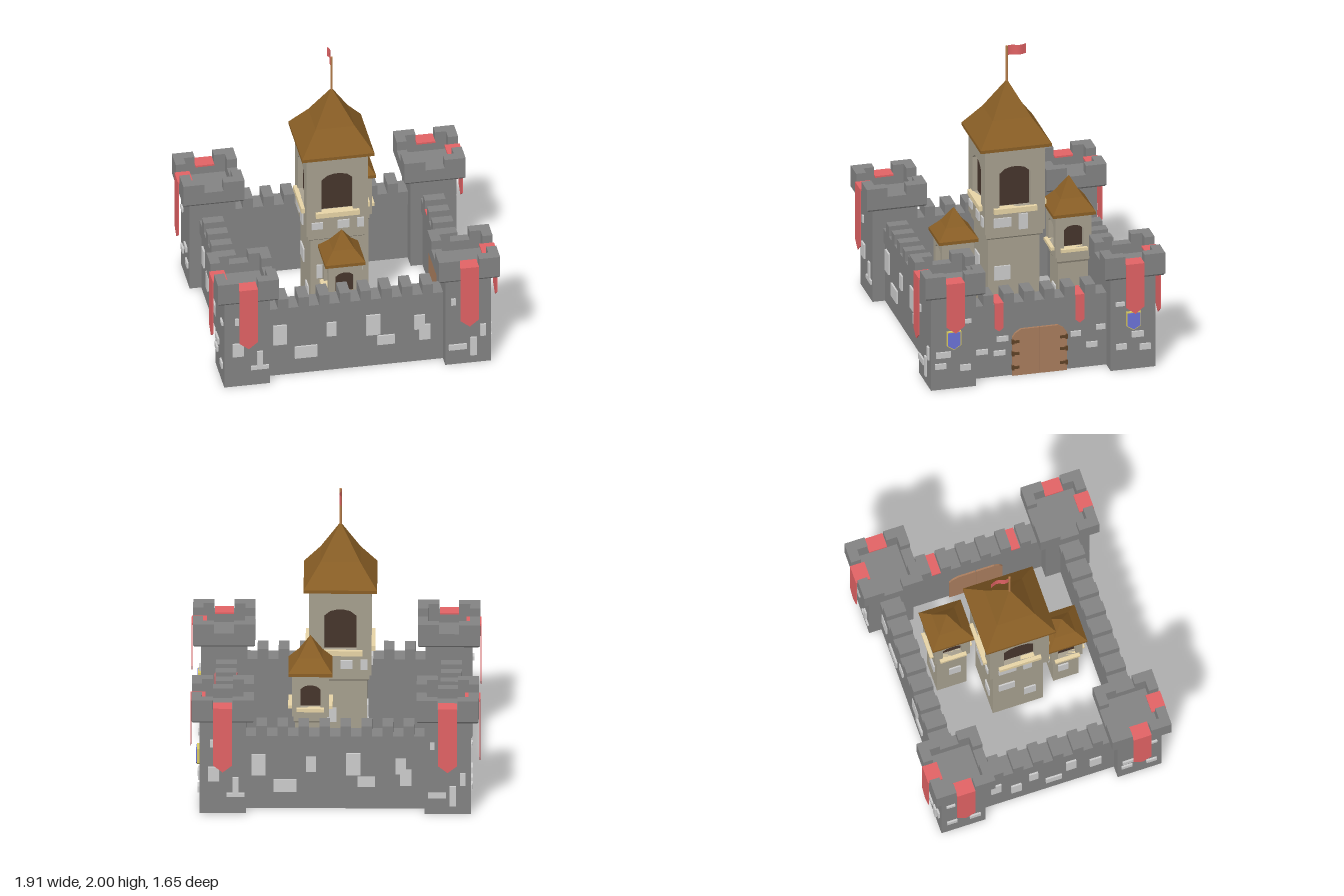
import * as THREE from 'three';

const mat = (color, extra = {}) => new THREE.MeshStandardMaterial({ color, flatShading: true, ...extra });
const M = {
  wall: mat(0x828282), stone: mat(0xcccccc), beige: mat(0xa69f8e), roof: mat(0x8a5f26),
  dark: mat(0x46352c), sill: mat(0xe6d3a5), red: mat(0xe06264, { side: THREE.DoubleSide }),
  wood: mat(0xa87c5d), hinge: mat(0x5f4226), blue: mat(0x6b73d6), gold: mat(0xd8c860), pole: mat(0xb57d4a),
};
const SIDES = [0, 1, 2, 3].map(i => i * Math.PI / 2); // front, +x, back, -x

function add(parent, name, geometry, material, x = 0, y = 0, z = 0) {
  const m = new THREE.Mesh(geometry, material);
  m.name = name;
  m.position.set(x, y, z);
  parent.add(m);
  return m;
}
const box = (parent, name, material, w, h, d, x, y, z) =>
  add(parent, name, new THREE.BoxGeometry(w, h, d), material, x, y, z);

function group(parent, name, x = 0, y = 0, z = 0, turn = 0) {
  const g = new THREE.Group();
  g.name = name;
  g.position.set(x, y, z);
  g.rotation.y = turn;
  parent.add(g);
  return g;
}
const poly = pts => new THREE.Shape(pts.map(p => new THREE.Vector2(...p)));
const extrude = (shape, depth) => new THREE.ExtrudeGeometry(shape, { depth, bevelEnabled: false });

// Square-plan solid from [half width, height] pairs, bottom to top
function squareSolid(profile) {
  const pts = profile.map(([r, y]) => new THREE.Vector2(r * Math.SQRT2, y));
  return new THREE.LatheGeometry(pts, 4, Math.PI / 4);
}

// Raised blocks on a face: [x, y, width, height], z outward
function stones(face, z, list) {
  for (const [x, y, w, h] of list) box(face, 'raisedStone', M.stone, w, h, 0.03, x, y, z);
}

// Cloth over a parapet with a pointed tail
function banner(face, w, top, bottom, z, over) {
  const h = w / 2;
  const g = group(face, 'banner');
  add(g, 'bannerCloth', extrude(poly([[-h, top], [-h, bottom + h * 0.8], [0, bottom], [h, bottom + h * 0.8], [h, top]]), 0.006), M.red, 0, 0, z);
  box(g, 'bannerFold', M.red, w, 0.012, over, 0, top - 0.006, z + 0.006 - over / 2);
  return g;
}

function shield(face, z) {
  const g = group(face, 'shield', 0, 0.35, z);
  const outline = k => poly([[-0.048, 0.066], [-0.048, -0.035], [0, -0.066], [0.048, -0.035], [0.048, 0.066]].map(p => [p[0] * k, p[1] * k]));
  add(g, 'shieldFrame', extrude(outline(1), 0.018), M.gold);
  add(g, 'shieldFace', extrude(outline(0.9), 0.022), M.blue);
}

// Corner tower with hollow battlement
function cornerTower(parent, sx, sz) {
  const t = group(parent, 'cornerTower', sx * 0.74, 0, sz * 0.612);
  add(t, 'towerBody', squareSolid([[0, 0], [0.153, 0], [0.153, 0.655], [0.195, 0.672], [0.205, 0.685], [0.205, 0.7], [0, 0.7]]), M.wall);
  const ring = poly([[-0.205, -0.205], [0.205, -0.205], [0.205, 0.205], [-0.205, 0.205]]);
  ring.holes.push(poly([[-0.138, -0.138], [-0.138, 0.138], [0.138, 0.138], [0.138, -0.138]]));
  add(t, 'parapet', extrude(ring, 0.08), M.wall, 0, 0.69, 0).rotation.x = -Math.PI / 2;
  for (const a of SIDES) {
    const corner = group(t, 'cornerMerlon', 0, 0.765, 0, a);
    const ell = poly([[0.065, 0.138], [0.138, 0.138], [0.138, 0.065], [0.205, 0.065], [0.205, 0.205], [0.065, 0.205]].reverse());
    add(corner, 'merlon', extrude(ell, 0.07), M.wall).rotation.x = -Math.PI / 2;
  }
  // Outward faces carry banners and blocks
  const zFace = group(t, 'outerFace', 0, 0, 0, sz > 0 ? 0 : Math.PI);
  const xFace = group(t, 'sideFace', 0, 0, 0, sx * Math.PI / 2);
  banner(zFace, 0.125, 0.78, 0.32, 0.208, 0.1);
  banner(xFace, 0.125, 0.78, sx > 0 ? 0.42 : 0.32, 0.208, 0.1);
  if (sx > 0) shield(xFace, 0.153);
  const leftHand = sx * sz < 0;
  stones(zFace, 0.15, leftHand
    ? [[-0.06, 0.285, 0.075, 0.1], [0.085, 0.2, 0.038, 0.12], [0.085, 0.135, 0.12, 0.028], [-0.07, 0.505, 0.025, 0.05]]
    : [[-0.07, 0.135, 0.12, 0.04], [0.1, 0.25, 0.038, 0.09], [0.035, 0.13, 0.042, 0.14], [-0.1, 0.49, 0.03, 0.05]]);
  stones(xFace, 0.15, sz > 0
    ? [[-0.07, 0.25, 0.1, 0.042], [-0.09, 0.17, 0.075, 0.038], [0.08, 0.145, 0.07, 0.042], [0.09, 0.477, 0.06, 0.028]]
    : [[-0.08, 0.17, 0.07, 0.04], [0.03, 0.25, 0.08, 0.042], [0.08, 0.155, 0.075, 0.042], [-0.09, 0.477, 0.06, 0.028]]);
}

// Curtain wall running along local x, outside facing local +z
function curtainWall(parent, name, x, z, turn, length, merlons) {
  const w = group(parent, name, x, 0, z, turn);
  box(w, 'wallBody', M.wall, length, 0.43, 0.116, 0, 0.215, 0);
  box(w, 'wallWalk', M.wall, length, 0.1, 0.138, 0, 0.473, 0);
  for (let i = 0; i < merlons; i++)
    box(w, 'merlon', M.wall, 0.07, 0.075, 0.138, (i - (merlons - 1) / 2) * 0.1385, 0.557, 0);
  return w;
}

// Arched outline; reversed for use as hole
function arch(h, y0, y1) {
  const rise = h * 0.42;
  return poly([[-h, y0], [h, y0], [h, y1 - rise], [h * 0.62, y1 - rise * 0.25], [h * 0.2, y1], [-h * 0.2, y1], [-h * 0.62, y1 - rise * 0.25], [-h, y1 - rise]]);
}

// Roofed tower with four arched windows
function roofedTower(parent, name, x, z, p) {
  const t = group(parent, name, x, 0, z);
  const { half, base, top, win, eave, apex } = p;
  const lower = half - p.step;
  add(t, 'towerBase', squareSolid([[0, 0], [lower, 0], [lower, base - 0.05], [half - 0.012, base - 0.035], [half - 0.012, base], [half, base], [0, base]]), M.beige);
  const depth = 0.035;
  box(t, 'darkInterior', M.dark, 2 * (half - depth) - 0.002, top - base, 2 * (half - depth) - 0.002, 0, (base + top) / 2, 0);
  SIDES.forEach((a, i) => {
    const f = group(t, 'windowSide', 0, 0, 0, a);
    const e = half - (i % 2 ? depth : 0);
    const panel = poly([[-e, base], [e, base], [e, top], [-e, top]]);
    panel.holes.push(arch(win[0], win[1], win[2]));
    add(f, 'windowWall', extrude(panel, depth), M.beige, 0, 0, half - depth);
    box(f, 'windowSill', M.sill, win[0] * 2.75, p.sill, 0.055, 0, win[1] - p.sill / 2, half - 0.003);
    if (p.stones) stones(f, half - 0.005, p.stones[i % 2]);
    if (p.lowStones) stones(f, lower - 0.005, p.lowStones);
  });
  const rise = apex - top;
  add(t, 'roof', squareSolid([[0, top - 0.01], [eave, top - 0.01], [eave, top + 0.012], [eave * 0.54, top + rise * 0.42], [0, apex]]), M.roof);
  return t;
}

export function createModel() {
  const castle = new THREE.Group();
  castle.name = 'castle';

  for (const sx of [-1, 1]) for (const sz of [-1, 1]) cornerTower(castle, sx, sz);

  // Curtain walls
  const longStones = [[-0.505, 0.315, 0.09, 0.15], [-0.33, 0.165, 0.15, 0.09], [-0.16, 0.32, 0.065, 0.105], [0.12, 0.32, 0.095, 0.155],
    [0.205, 0.195, 0.115, 0.07], [0.43, 0.305, 0.07, 0.11], [0.465, 0.225, 0.075, 0.115]];
  const front = curtainWall(castle, 'frontWall', 0, 0.622, 0, 1.2, 8);
  const back = curtainWall(castle, 'backWall', 0, -0.622, Math.PI, 1.2, 8);
  const left = curtainWall(castle, 'plainSideWall', -0.757, 0, -Math.PI / 2, 0.94, 6);
  const gateWall = curtainWall(castle, 'gateWall', 0.724, 0, Math.PI / 2, 0.94, 6);
  stones(front, 0.055, longStones);
  stones(back, 0.055, longStones);
  stones(left, 0.055, [[-0.36, 0.3, 0.07, 0.13], [-0.22, 0.2, 0.07, 0.12], [-0.1, 0.32, 0.06, 0.11], [0.04, 0.16, 0.11, 0.07], [0.16, 0.31, 0.07, 0.14], [0.33, 0.23, 0.08, 0.12]]);
  stones(gateWall, 0.055, [[-0.39, 0.19, 0.08, 0.036], [-0.27, 0.17, 0.08, 0.034], [-0.25, 0.27, 0.08, 0.036], [0.25, 0.25, 0.07, 0.036], [0.36, 0.16, 0.075, 0.038], [0.42, 0.28, 0.06, 0.036]]);
  for (const s of [-1, 1]) banner(gateWall, 0.06, 0.534, 0.33, 0.07, 0.148).position.x = s * 0.275;

  // Double gate with hinges
  const gate = group(gateWall, 'gate');
  for (const s of [-1, 1]) {
    const pts = [[0.002, 0], [0.185, 0], [0.185, 0.275], [0.165, 0.305], [0.125, 0.33], [0.002, 0.33]].map(([x, y]) => [s * x, y]);
    add(gate, 'gateLeaf', extrude(poly(pts), 0.146), M.wood, 0, 0, -0.07);
    for (const y of [0.06, 0.16, 0.245]) {
      box(gate, 'hinge', M.hinge, 0.045, 0.018, 0.02, s * 0.162, y, 0.075);
      box(gate, 'hingePin', M.hinge, 0.014, 0.032, 0.024, s * 0.182, y, 0.075);
    }
  }

  // Keep and its two turrets
  const keep = roofedTower(castle, 'keep', -0.03, 0, {
    half: 0.205, step: 0.03, base: 0.745, top: 1.36, win: [0.106, 0.93, 1.22], sill: 0.036, eave: 0.242, apex: 1.76,
    stones: [[[-0.135, 0.825, 0.075, 0.05], [0.04, 0.825, 0.08, 0.06], [0.155, 0.825, 0.045, 0.07]],
      [[-0.085, 0.825, 0.12, 0.065], [0.055, 0.82, 0.06, 0.11]]],
    lowStones: [[-0.08, 0.45, 0.11, 0.1], [0.08, 0.25, 0.08, 0.11]],
  });
  roofedTower(castle, 'frontTurret', -0.03, 0.362, {
    half: 0.108, step: 0.02, base: 0.4, top: 0.68, win: [0.062, 0.45, 0.61], sill: 0.022, eave: 0.134, apex: 0.88,
    lowStones: [[-0.02, 0.22, 0.07, 0.1]],
  });
  roofedTower(castle, 'backTurret', 0.165, -0.37, {
    half: 0.122, step: 0.02, base: 0.575, top: 0.88, win: [0.066, 0.64, 0.8], sill: 0.022, eave: 0.145, apex: 1.11,
    lowStones: [[0.02, 0.3, 0.08, 0.1]],
  });

  // Flagpole and waving flag
  add(keep, 'flagpole', new THREE.CylinderGeometry(0.008, 0.008, 0.28, 8), M.pole, 0, 1.86, 0);
  const flag = new THREE.PlaneGeometry(0.13, 0.07, 12, 1);
  flag.rotateY(Math.PI / 2);
  flag.translate(0, 1.965, -0.067);
  const p = flag.attributes.position;
  for (let i = 0; i < p.count; i++) p.setX(i, 0.008 * Math.sin(p.getZ(i) * 55));
  flag.computeVertexNormals();
  add(keep, 'flag', flag, M.red);

  return castle;
}
